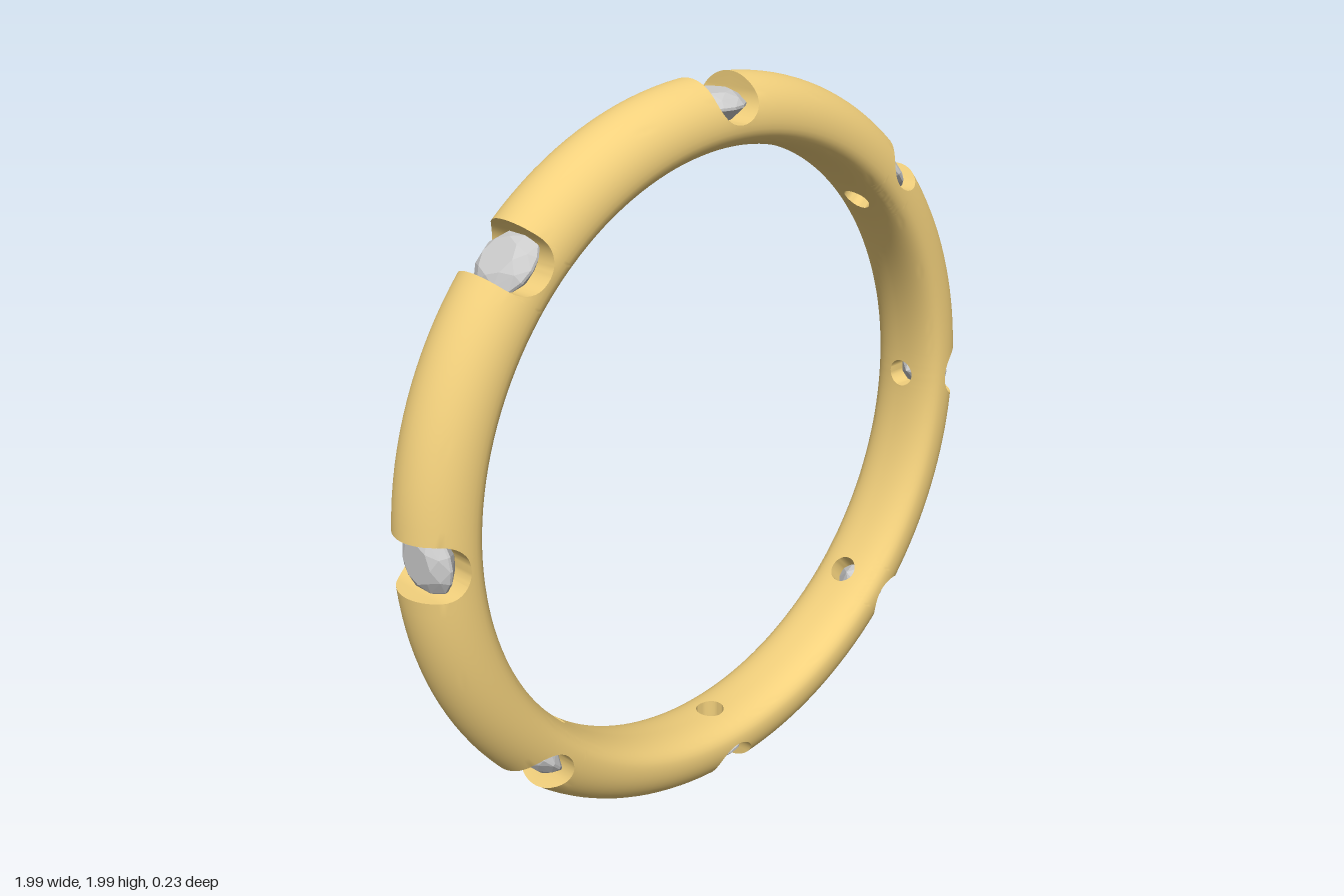
import * as THREE from 'three';
import { toCreasedNormals } from 'three/addons/utils/BufferGeometryUtils.js';
import { ConvexGeometry } from 'three/addons/geometries/ConvexGeometry.js';

const COUNT = 8, STEP = Math.PI * 2 / COUNT;
const MID = 0.885, HALF = 0.115, INNER = 0.065;   // band profile: centre radius, half width, inner bulge
const NOTCH = 0.072, NOTCH_R = 0.96, HOLE = 0.04; // U notch half width and centre, drilled hole radius

// Radius of the inner surface at width z
const innerR = z => MID - INNER * Math.pow(1 - Math.pow(z / HALF, 2.5), 1 / 2.5);

// Half of the band's cross-section, cut off at radius cap and starting at width gap: [z, r] points
function halfProfile(cap, gap) {
  const pts = [];
  for (let i = 0; i <= 12; i++) {
    const z = Math.max(gap, HALF * Math.sin(i / 12 * Math.PI / 2));
    pts.push([z, innerR(Math.min(z, HALF))]);
  }
  for (let i = 1; i <= 14; i++) {
    const t = i / 14 * Math.PI / 2;
    const r = Math.min(cap, MID + HALF * Math.sin(t));
    pts.push([r < cap ? HALF * Math.cos(t) : Math.sqrt(Math.max(0, HALF ** 2 - (cap - MID) ** 2)), r]);
  }
  pts.push([gap, cap]);
  return pts;
}

// Cross-sections of one eighth of the ring: across a notch, then along the solid band
function sections() {
  const list = [];
  const slice = (x, cap, gap) => list.push({
    gap, pts: halfProfile(cap, gap).map(([z, r]) => new THREE.Vector3(x, Math.sqrt(r * r - x * x), z))
  });
  const xs = [];
  const a0 = Math.asin(HOLE / NOTCH);
  for (let i = 0; i < 6; i++) xs.push(-NOTCH * Math.sin(Math.PI / 2 + (a0 - Math.PI / 2) * i / 6));
  for (let i = 0; i <= 14; i++) xs.push(HOLE * Math.sin((i / 14 - 0.5) * Math.PI));
  for (let i = 5; i >= 0; i--) xs.push(-xs[i]);

  slice(-NOTCH, MID + HALF, 0);
  for (const x of xs) {
    const floor = NOTCH_R - Math.sqrt(Math.max(0, NOTCH ** 2 - x * x));
    const gap = Math.sqrt(Math.max(0, HOLE ** 2 - x * x));
    slice(x, Math.hypot(floor, x), gap < 1e-6 ? 0 : gap);
  }
  slice(NOTCH, MID + HALF, 0);

  const full = halfProfile(MID + HALF, 0);
  for (let k = 1; k <= 16; k++) {
    list.push({
      gap: 0, pts: full.map(([z, r]) => {
        const edge = Math.asin(NOTCH / r);
        const a = edge + (STEP - 2 * edge) * k / 16;
        return new THREE.Vector3(r * Math.sin(a), r * Math.cos(a), z);
      })
    });
  }
  return list;
}

// Joins the sections into the closed ring, mirroring each strip front to back
function bandGeometry() {
  const list = sections(), out = [], axis = new THREE.Vector3(0, 0, 1);
  const ab = new THREE.Vector3(), ac = new THREE.Vector3();
  const tri = (a, b, c, turn) => {
    if (ab.subVectors(b, a).cross(ac.subVectors(c, a)).length() < 1e-10) return;
    for (const flip of [1, -1]) {
      for (const p of flip > 0 ? [a, b, c] : [a, c, b]) {
        const q = p.clone().applyAxisAngle(axis, turn);
        out.push(q.x, q.y, q.z * flip);
      }
    }
  };
  for (let n = 0; n < COUNT; n++) {
    for (let j = 0; j < list.length - 1; j++) {
      const A = list[j], B = list[j + 1], m = A.pts.length;
      // the last side of the loop is the wall of the drilled hole
      const end = A.gap || B.gap ? m : m - 1;
      for (let i = 0; i < end; i++) {
        const k = (i + 1) % m;
        tri(A.pts[i], B.pts[i], A.pts[k], -n * STEP);
        tri(B.pts[i], B.pts[k], A.pts[k], -n * STEP);
      }
    }
  }
  const g = new THREE.BufferGeometry();
  g.setAttribute('position', new THREE.Float32BufferAttribute(out, 3));
  return toCreasedNormals(g, 0.6);
}

// Round faceted stone: table, crown, girdle, pavilion and tip
function stoneGeometry() {
  const pts = [new THREE.Vector3(0, 0.845, 0)];
  const ring = (n, r, y, shift) => {
    for (let i = 0; i < n; i++) {
      const a = (i + shift) / n * Math.PI * 2;
      pts.push(new THREE.Vector3(r * Math.sin(a), y, r * Math.cos(a)));
    }
  };
  ring(8, 0.053, 0.96, 0);
  ring(8, 0.076, 0.946, 0.5);
  ring(16, 0.09, 0.929, 0);
  ring(16, 0.09, 0.922, 0);
  ring(8, 0.05, 0.884, 0.5);
  return new ConvexGeometry(pts);
}

export function createModel() {
  const model = new THREE.Group();
  model.name = 'ring';
  const gold = new THREE.MeshStandardMaterial({ color: 0xf2d07c });
  const grey = new THREE.MeshStandardMaterial({ color: 0xcccccc, flatShading: true });

  const band = new THREE.Mesh(bandGeometry(), gold);
  band.name = 'band';
  band.position.y = 1;
  model.add(band);

  // One stone in every notch
  const stone = stoneGeometry();
  for (let i = 0; i < COUNT; i++) {
    const mesh = new THREE.Mesh(stone, grey);
    mesh.name = 'stone' + (i + 1);
    mesh.position.y = 1;
    mesh.rotation.z = -i * STEP;
    model.add(mesh);
  }
  return model;
}
